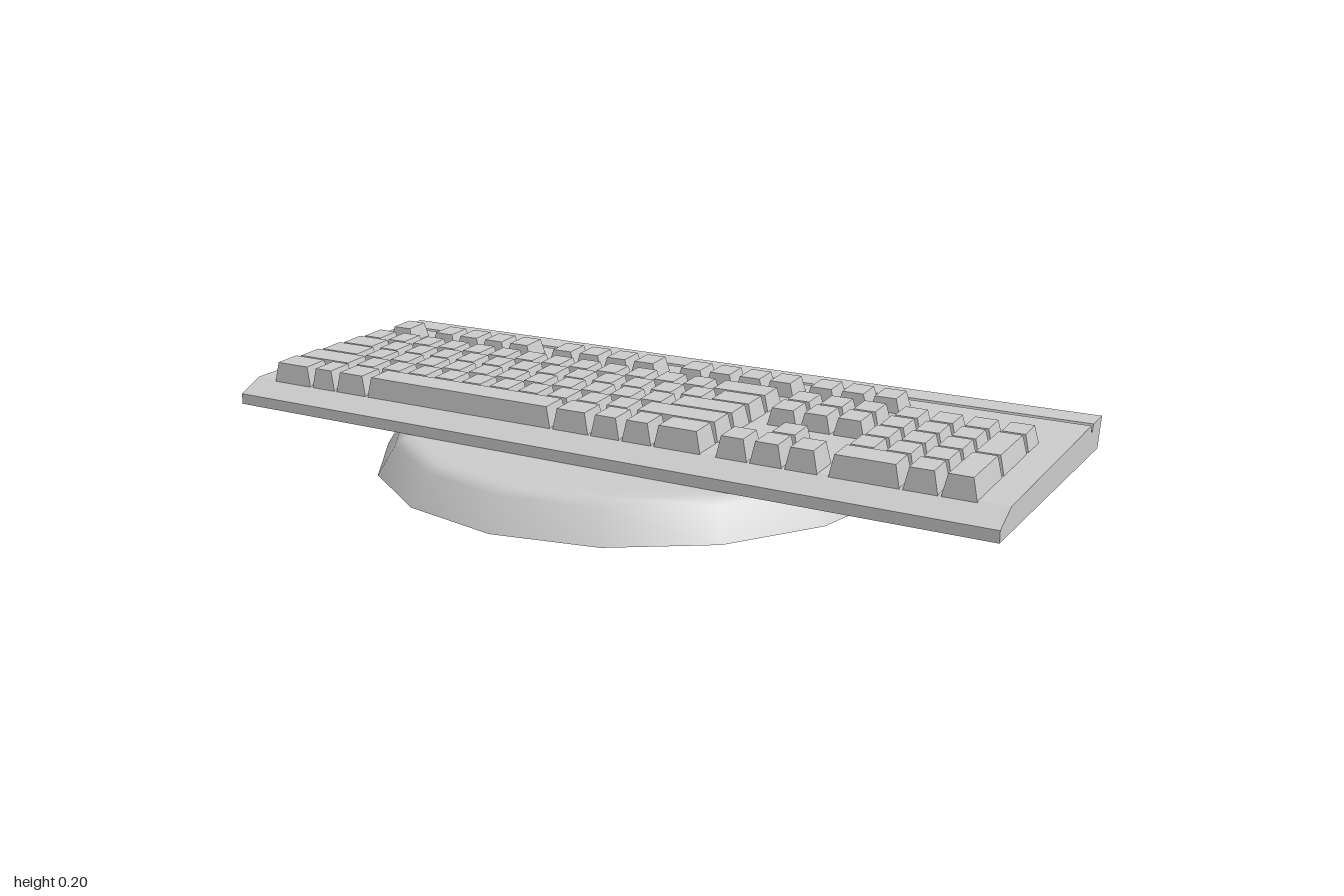
import * as THREE from 'three';

const UNIT = 0.083;      // width of one key cell
const LEFT = -0.941;     // left edge of the key field
const rowZ = [-0.167, -0.04, 0.046, 0.13, 0.214, 0.298]; // top row to space bar row
const deckY = (z) => 0.147 + (0.33 - z) * 0.028;

export function createModel() {
  const model = new THREE.Group();
  model.name = 'keyboardOnStand';
  const grey = new THREE.MeshStandardMaterial({ color: 0xcccccc, flatShading: true });
  const smoothGrey = new THREE.MeshStandardMaterial({ color: 0xcccccc, side: THREE.DoubleSide });

  // Round dish under the keyboard: a thin shell, open below
  const profile = [[0.657, 0], [0.612, 0.073], [0.588, 0.087], [0.56, 0.09], [0, 0.09]];
  const dish = new THREE.Mesh(
    new THREE.LatheGeometry(profile.map(([r, y]) => new THREE.Vector2(r, y)), 16), smoothGrey);
  dish.name = 'roundStand';
  dish.position.x = -0.04;
  model.add(dish);

  // Case: side profile (z, y) with front bevel and rear groove, swept across the width
  const side = [[0.395, 0.09], [0.395, 0.117], [0.33, 0.147], [-0.25, 0.163], [-0.253, 0.146],
    [-0.262, 0.146], [-0.267, 0.163], [-0.34, 0.164], [-0.32, 0.09]];
  const shape = new THREE.Shape(side.map(([z, y]) => new THREE.Vector2(z, y)));
  const caseGeometry = new THREE.ExtrudeGeometry(shape, { depth: 2, bevelEnabled: false });
  // The profile's first axis is turned to +z
  caseGeometry.translate(0, 0, -1).rotateY(-Math.PI / 2);
  const body = new THREE.Mesh(caseGeometry, grey);
  body.name = 'case';
  model.add(body);

  // One keycap: a box narrowed towards its top, which slopes down to the front
  const addKey = (group, name, start, units, row, rows = 1) => {
    const w = units * UNIT - 0.005;
    const d = rows * 0.084 - 0.008;
    const z = (rowZ[row] + rowZ[row + rows - 1]) / 2;
    const base = deckY(z) - 0.008;
    const h = 0.197 - base;
    const geometry = new THREE.BoxGeometry(w, h, d);
    geometry.translate(0, h / 2, 0);
    const p = geometry.attributes.position;
    for (let i = 0; i < p.count; i++) {
      if (p.getY(i) < h / 2) continue;
      p.setX(i, p.getX(i) - Math.sign(p.getX(i)) * 0.012);
      const front = p.getZ(i) > 0;
      p.setZ(i, p.getZ(i) + (front ? -0.004 : 0.007));
      p.setY(i, h + (front ? -0.002 : 0.002));
    }
    geometry.computeVertexNormals();
    const key = new THREE.Mesh(geometry, grey);
    key.name = name;
    key.position.set(LEFT + (start + units / 2) * UNIT, base, z);
    group.add(key);
  };
  const addRow = (group, name, start, widths, row) => {
    let at = start;
    for (const w of widths) {
      addKey(group, name, at, w, row);
      at += w;
    }
  };
  const keyGroup = (name) => {
    const group = new THREE.Group();
    group.name = name;
    model.add(group);
    return group;
  };
  const ones = (n) => Array(n).fill(1);

  // Top row: one single key and three banks of four
  const topRow = keyGroup('topRowKeys');
  addKey(topRow, 'escapeKey', 0, 1, 0);
  for (const start of [1.75, 6.42, 11.07]) addRow(topRow, 'topRowKey', start, ones(4), 0);

  // Main typing block
  const main = keyGroup('mainKeys');
  [
    [...ones(13), 2],
    [1.5, ...ones(12), 1.5],
    [1.75, ...ones(11), 2.25],
    [2.25, ...ones(10), 2.75],
    [1.5, 0.95, 1.2, 6.6, 1.25, 1, 1, 1.5],
  ].forEach((widths, i) => addRow(main, 'mainKey', 0, widths, i + 1));

  // Navigation block and arrow keys
  const navigation = keyGroup('navigationKeys');
  for (const row of [0, 1, 2, 5]) addRow(navigation, 'navigationKey', 15.38, ones(3), row);
  addKey(navigation, 'upArrowKey', 16.38, 1, 4);

  // Number pad with two tall keys and a wide zero
  const pad = keyGroup('numberPad');
  addRow(pad, 'padKey', 18.6, ones(4), 1);
  for (const row of [2, 3, 4]) addRow(pad, 'padKey', 18.6, ones(3), row);
  addRow(pad, 'padKey', 18.6, [2, 1], 5);
  addKey(pad, 'padPlusKey', 21.6, 1, 2, 2);
  addKey(pad, 'padEnterKey', 21.6, 1, 4, 2);

  return model;
}
